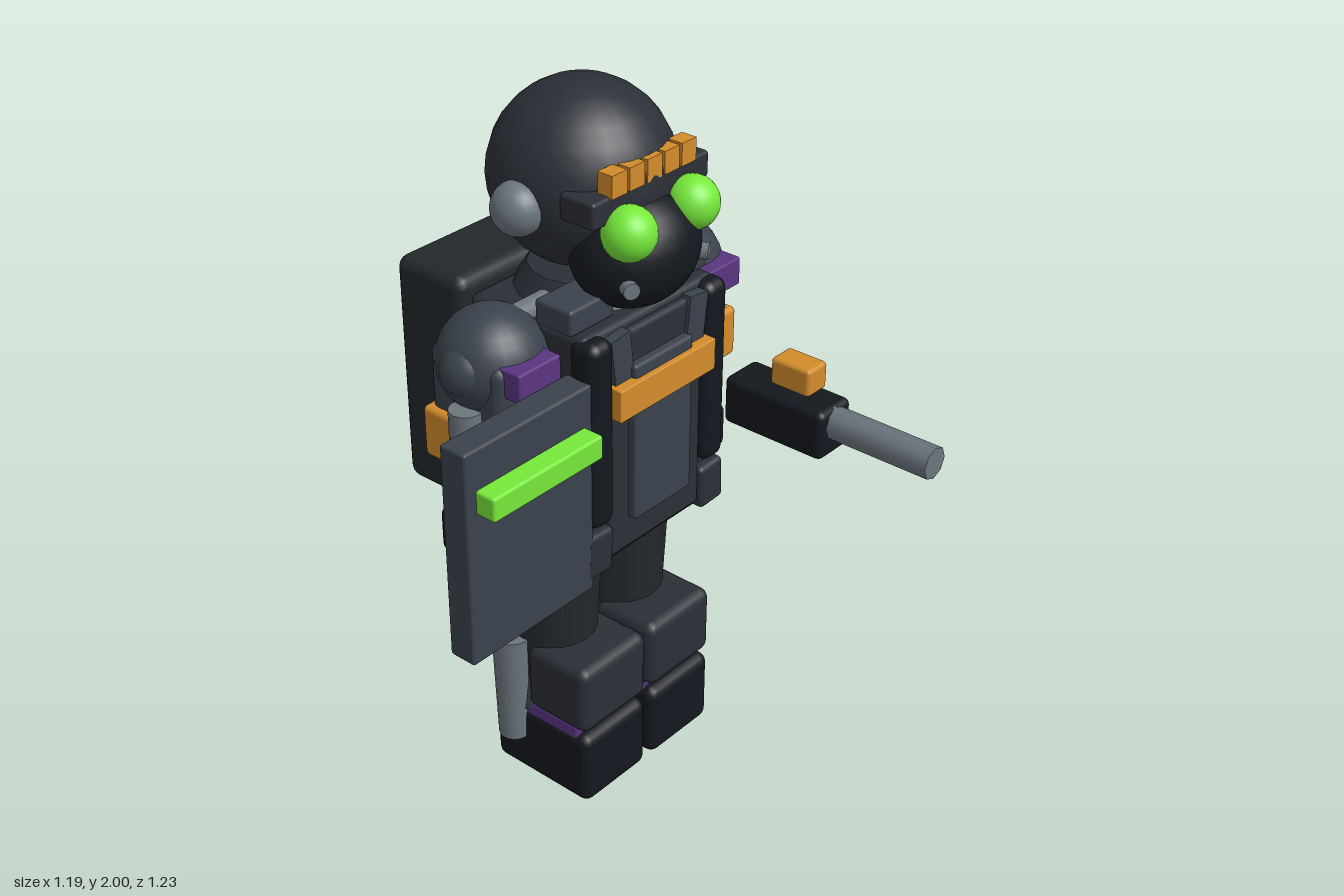
import * as THREE from 'three';
import { RoundedBoxGeometry } from 'three/addons/geometries/RoundedBoxGeometry.js';

const CX = 0.094; // centre line of the figure
const mat = (color) => new THREE.MeshStandardMaterial({ color });
const M = {
  dark: mat(0x2b2f36), slate: mat(0x3a424c), black: mat(0x14181e), cloth: mat(0x24282c),
  steel: mat(0x6b757d), orange: mat(0xd28c2c), green: mat(0x76e83a), purple: mat(0x5a3580),
};

export function createModel() {
  const root = new THREE.Group();

  function add(parent, name, geo, m, x, y, z) {
    const mesh = new THREE.Mesh(geo, m);
    mesh.name = name;
    mesh.position.set(x, y, z);
    parent.add(mesh);
    return mesh;
  }
  // Box given by its limits on each axis, with optional rounded edges
  function box(parent, name, m, [x0, x1], [y0, y1], [z0, z1], r = 0) {
    const s = [x1 - x0, y1 - y0, z1 - z0];
    const geo = r ? new RoundedBoxGeometry(...s, 2, r) : new THREE.BoxGeometry(...s);
    return add(parent, name, geo, m, (x0 + x1) / 2, (y0 + y1) / 2, (z0 + z1) / 2);
  }
  function ball(parent, name, m, x, y, z, rx, ry = rx, rz = rx) {
    const mesh = add(parent, name, new THREE.SphereGeometry(1, 24, 16), m, x, y, z);
    mesh.scale.set(rx, ry, rz);
    return mesh;
  }
  function tube(parent, name, m, x, [y0, y1], z, rTop, rBottom, sides = 16) {
    return add(parent, name, new THREE.CylinderGeometry(rTop, rBottom, y1 - y0, sides), m, x, (y0 + y1) / 2, z);
  }
  function part(name, x = 0) {
    const g = new THREE.Group();
    g.name = name;
    g.position.x = x;
    root.add(g);
    return g;
  }

  // Head: helmet, face mask, goggles, brow with a row of tabs
  const head = part('head', CX);
  ball(head, 'helmet', M.dark, 0, 1.76, -0.218, 0.24);
  ball(head, 'faceMask', M.black, 0, 1.61, -0.045, 0.185, 0.153, 0.15);
  box(head, 'brow', M.dark, [-0.215, 0.215], [1.735, 1.805], [-0.1, 0.01], 0.01);
  for (let i = -2; i <= 2; i++) {
    box(head, 'browTab', M.orange, [i * 0.064 - 0.027, i * 0.064 + 0.027], [1.8, 1.86], [-0.03, 0.016]);
  }
  for (const s of [-1, 1]) {
    ball(head, 'goggle', M.green, s * 0.118, 1.708, 0.037, 0.07);
    ball(head, 'earPiece', M.steel, s * 0.235, 1.738, -0.215, 0.066, 0.07, 0.07);
    const vent = tube(head, 'maskVent', M.steel, s * 0.13, [1.54, 1.61], 0.04, 0.022, 0.022, 12);
    vent.rotation.set(Math.PI / 2, s * 0.5, 0, 'YXZ');
  }

  // Torso with chest panel, belt, straps and pouches
  const torso = part('torso', CX);
  box(torso, 'body', M.dark, [-0.25, 0.25], [0.88, 1.46], [-0.38, 0.01], 0.02);
  box(torso, 'hips', M.black, [-0.265, 0.265], [0.77, 0.98], [-0.455, 0.005], 0.015);
  tube(torso, 'collar', M.dark, 0, [1.42, 1.52], -0.21, 0.15, 0.21);
  const bar = tube(torso, 'shoulderBar', M.steel, 0, [1.17, 1.77], -0.2, 0.032, 0.032);
  bar.position.y = 1.465;
  bar.rotation.z = Math.PI / 2;
  box(torso, 'chest', M.dark, [-0.18, 0.18], [0.8, 1.44], [-0.05, 0.03], 0.015);
  box(torso, 'chestPanel', M.slate, [-0.112, 0.112], [0.895, 1.35], [0, 0.055], 0.01);
  box(torso, 'chestBand', M.orange, [-0.185, 0.185], [1.225, 1.315], [0, 0.07], 0.004);
  for (const s of [-1, 1]) {
    const strap = add(torso, 'strap', new RoundedBoxGeometry(0.085, 0.53, 0.09, 3, 0.03), M.black, s * 0.22, 1.19, 0.005);
    strap.scale.x = 1;
    const pouch = add(torso, 'hipPouch', new RoundedBoxGeometry(0.095, 0.13, 0.08, 2, 0.015), M.dark, s * 0.225, 0.842, 0);
    pouch.rotation.z = s * 0.05;
    add(torso, 'collarBlock', new RoundedBoxGeometry(0.16, 0.07, 0.12, 2, 0.01), M.slate, s * 0.18, 1.495, -0.085);
    const lapel = add(torso, 'lapel', new THREE.BoxGeometry(0.07, 0.19, 0.03), M.slate, s * 0.14, 1.35, 0.025);
    lapel.rotation.z = -s * 0.12;
  }

  // Backpack with one side canister
  const pack = part('backpack');
  box(pack, 'pack', M.cloth, [-0.19, 0.38], [0.84, 1.505], [-0.615, -0.375], 0.035);
  box(pack, 'sidePocket', M.steel, [0.36, 0.4], [0.945, 1.335], [-0.52, -0.41], 0.015);

  // Arms and legs, built once per side
  for (const s of [-1, 1]) {
    const side = s > 0 ? 'left' : 'right';
    const arm = part(side + 'Arm', CX);
    ball(arm, 'shoulder', M.slate, s * 0.342, 1.375, -0.215, 0.142);
    ball(arm, 'shoulderKnob', M.slate, s * 0.425, 1.38, -0.21, 0.075);
    const piece = (name, m, x, w, [y0, y1], [z0, z1], r) =>
      box(arm, name, m, [s * x - w / 2, s * x + w / 2], [y0, y1], [z0, z1], r);
    piece('upperArm', M.slate, 0.345, 0.2, [1.2, 1.42], [-0.335, -0.09], 0.03);
    piece('armBand', M.orange, 0.352, 0.225, [1.1, 1.245], [-0.345, -0.08], 0.015);
    piece('forearm', M.dark, 0.345, 0.18, [0.92, 1.14], [-0.315, -0.115], 0.03);
    piece('glove', M.black, 0.355, 0.185, [0.81, 0.94], [-0.325, -0.09], 0.02);
    piece('shoulderPatch', M.purple, 0.351, 0.147, [1.34, 1.42], [-0.11, -0.042], 0.006);
    tube(arm, 'armTube', M.steel, s * 0.455, [0.93, 1.287], -0.197, 0.045, 0.045);

    const leg = part(side + 'Leg', CX);
    tube(leg, 'trouser', M.cloth, s * 0.139, [0.24, 0.8], -0.22, 0.142, 0.112, 20);
    tube(leg, 'shin', M.slate, s * 0.139, [0.23, 0.44], -0.22, 0.1, 0.135, 8);
    const low = (name, m, w, y, z, r) =>
      box(leg, name, m, [s * 0.139 - w / 2, s * 0.139 + w / 2], y, z, r);
    low('kneePad', M.dark, 0.262, [0.245, 0.455], [-0.205, 0.013], 0.03);
    low('ankleBand', M.purple, 0.245, [0.205, 0.255], [-0.322, -0.025], 0.01);
    low('boot', M.black, 0.255, [0, 0.228], [-0.335, 0.015], 0.03);
    tube(leg, 'legTube', M.steel, s * 0.266, [0.127, 0.467], -0.258, 0.055, 0.045);
  }

  // Shield with a glowing strip
  const shield = part('shield');
  box(shield, 'plate', M.slate, [-0.6, -0.16], [0.752, 1.357], [-0.045, 0.037], 0.008);
  box(shield, 'strip', M.green, [-0.567, -0.185], [1.18, 1.247], [0.02, 0.095], 0.008);

  // Blaster
  const gun = part('blaster');
  box(gun, 'gunBody', M.black, [0.432, 0.567], [0.96, 1.103], [-0.02, 0.307], 0.02);
  box(gun, 'sight', M.orange, [0.457, 0.54], [1.12, 1.2], [0.115, 0.242], 0.012);
  const barrel = tube(gun, 'barrel', M.steel, 0.499, [0, 0.37], 0, 0.046, 0.046, 8);
  barrel.rotation.x = Math.PI / 2;
  barrel.position.set(0.499, 1.055, 0.43);

  return root;
}
